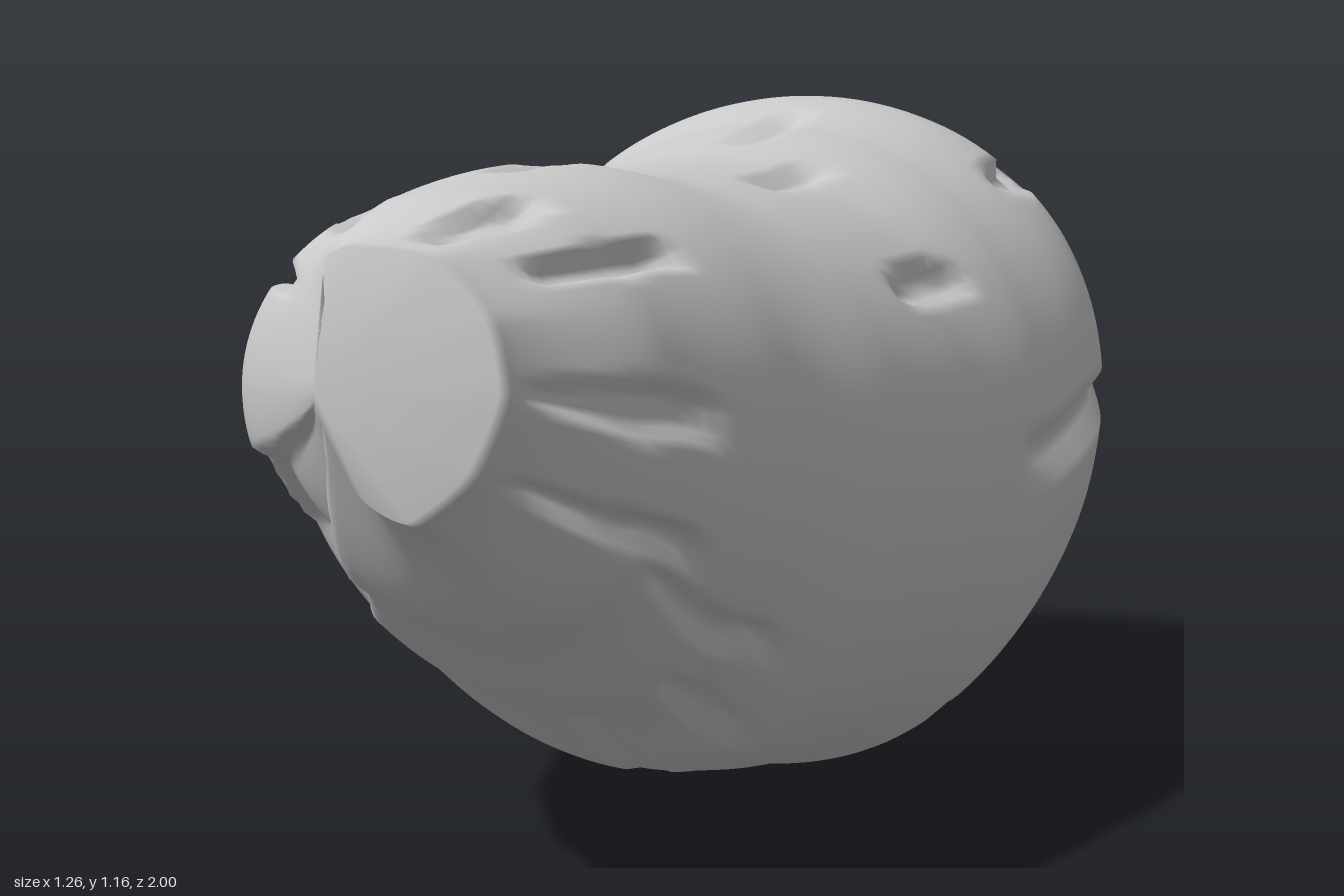
import * as THREE from 'three';

const SEG = 144, STEPS = 12; // points per ring, rows between sections

// Oval sections from front to back: xMin, xMax, yMin, yMax, height of widest point
const ovals = [
  [-0.28, 0.41, 0.46, 1.11, 0.80],
  [-0.37, 0.48, 0.28, 1.125, 0.73],
  [-0.43, 0.55, 0.12, 1.09, 0.66],
  [-0.49, 0.585, 0.06, 1.09, 0.62],
  [-0.49, 0.62, 0.005, 1.13, 0.60],
  [-0.54, 0.625, 0.06, 1.17, 0.65],
];
// Irregular end outlines, one point every 30 degrees from +x
const frontEnd = [[0.28, 0.86], [0.26, 0.96], [0.18, 1.04], [0.06, 1.05], [0.02, 1.03], [0.02, 0.95],
  [0, 0.86], [0, 0.84], [0.01, 0.81], [0.07, 0.71], [0.14, 0.68], [0.23, 0.75]];
const backEnd = [[0.48, 0.8], [0.43, 0.95], [0.28, 1.06], [0.02, 1.11], [-0.25, 1.05], [-0.5, 0.9],
  [-0.63, 0.7], [-0.5, 0.47], [-0.25, 0.39], [0.04, 0.31], [0.23, 0.49], [0.42, 0.69]];

// Chips in the surface: angle, half width in degrees, zMin, zMax, depth
const chips = [
  [37, 5, -0.3, 0, 0.05], [0, 5, -0.88, -0.28, 0.05], [2, 9, 0.57, 0.98, 0.08],
  [-30, 6, 0.57, 0.95, 0.1], [-42, 5, 0.28, 0.7, 0.06], [18, 4, -1, -0.85, 0.05],
  [48, 5, -1, -0.6, 0.05], [89, 4, -0.58, -0.28, 0.03], [71, 4, -0.28, 0, 0.04],
  [137, 7, -1, -0.28, 0.08], [93, 7, 0.28, 0.57, 0.06], [118, 8, 0.57, 0.85, 0.1],
  [72, 9, 0.7, 0.95, 0.1], [45, 6, 0.55, 0.9, 0.1], [145, 6, 0.28, 0.85, 0.1],
  [-88, 6, 0.1, 0.45, 0.05], [-62, 5, 0.2, 0.5, 0.05], [215, 22, 0.42, 0.98, 0.15],
  [-53, 4, -0.85, -0.4, 0.04], [-85, 6, -1, -0.72, 0.05], [112, 3, -0.15, 0, 0.03],
];

function endRing(points) {
  const corners = points.map(([x, y]) => new THREE.Vector3(x, y, 0));
  const curve = new THREE.CatmullRomCurve3(corners, true, 'catmullrom', 0.3);
  return Array.from({ length: SEG }, (_, i) => curve.getPoint(i / SEG));
}

// Oval whose crown and belly lean slightly toward +x
function ovalRing([x0, x1, y0, y1, yMid]) {
  return Array.from({ length: SEG }, (_, i) => {
    const a = i / SEG * Math.PI * 2, s = Math.sin(a);
    return new THREE.Vector3(
      (x0 + x1) / 2 + Math.cos(a) * (x1 - x0) / 2 + (s > 0 ? 0.03 : 0.05) * s * s,
      yMid + s * (s > 0 ? y1 - yMid : yMid - y0), 0);
  });
}

// How far a surface point is sunk, as a fraction of its radius
function sink(angle, z) {
  let depth = 0;
  for (const [mid, half, z0, z1, d] of chips) {
    const dz = Math.abs(z - (z0 + z1) / 2) / ((z1 - z0) / 2);
    if (dz >= 1) continue;
    const da = Math.abs(THREE.MathUtils.euclideanModulo(angle - mid + 180, 360) - 180) / half;
    const edge = Math.max(da / (1 - 0.5 * dz), dz);
    depth = Math.max(depth, d * (1 - THREE.MathUtils.smoothstep(edge, 0.6, 1)));
  }
  return depth;
}

export function createModel() {
  const sections = [endRing(frontEnd), ...ovals.map(ovalRing), endRing(backEnd)];
  const rows = (sections.length - 1) * STEPS;

  // One gently curved line from front to back for every angle
  const lines = Array.from({ length: SEG }, (_, i) =>
    new THREE.CatmullRomCurve3(sections.map(ring => ring[i]), false, 'catmullrom', 0.22));

  // Rings along the rock, with the chips pushed inward
  const positions = [];
  for (let j = 0; j <= rows; j++) {
    const z = 1 - 2 * j / rows;
    const ring = lines.map(line => line.getPoint(j / rows));
    const centre = ring.reduce((c, p) => c.add(p), new THREE.Vector3()).divideScalar(SEG);
    const fade = Math.min(1, (rows - j) / 3, j / 3);
    ring.forEach((p, i) => {
      p.lerp(centre, sink(i / SEG * 360, z) * fade);
      positions.push(p.x, p.y, z);
    });
  }
  const index = [];
  for (let j = 0; j < rows; j++) {
    for (let i = 0; i < SEG; i++) {
      const n = (i + 1) % SEG, a = j * SEG + i, b = j * SEG + n;
      index.push(a, a + SEG, b, b, a + SEG, b + SEG);
    }
  }

  // End faces, fanned from a point on the rim and shaded smoothly with the sides
  const frontHub = positions.length / 3, backHub = frontHub + 1, last = rows * SEG;
  positions.push(0, 0.85, 1, 0.04, 0.31, -1);
  for (let i = 0; i < SEG; i++) {
    const n = (i + 1) % SEG;
    index.push(frontHub, i, n, backHub, last + n, last + i);
  }

  const geometry = new THREE.BufferGeometry();
  geometry.setAttribute('position', new THREE.Float32BufferAttribute(positions, 3));
  geometry.setIndex(index);
  geometry.computeVertexNormals();
  const rock = new THREE.Mesh(geometry,
    new THREE.MeshStandardMaterial({ color: 0xcccccc, side: THREE.DoubleSide }));
  rock.name = 'rockBody';

  const group = new THREE.Group();
  group.name = 'boulder';
  group.add(rock);
  return group;
}
